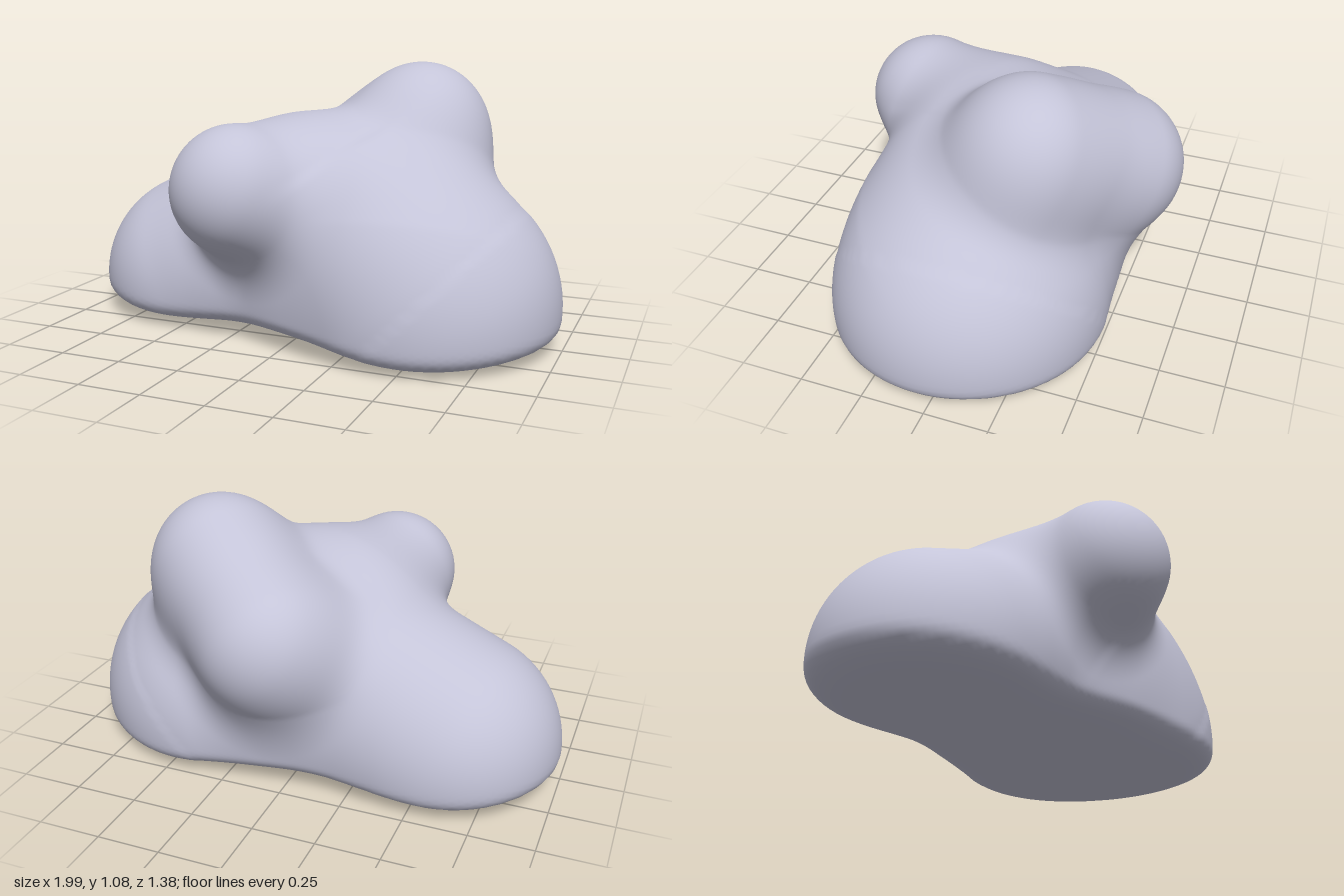
import * as THREE from 'three';
import { mergeVertices } from 'three/addons/utils/BufferGeometryUtils.js';

// Each lobe is a tapered capsule: start, end, start radius, end radius,
// and the width k of its blend into the lobes before it
const lobes = [
  { a: [-0.57, 0.15, -0.07], b: [-0.2, 0.33, -0.06], ra: 0.43, rb: 0.42, k: 0.1 },    // right foot rising to the core
  { a: [-0.4, 0.15, -0.07], b: [0.35, 0.15, 0], ra: 0.39, rb: 0.45, k: 0.1 },         // bridge between the feet
  { a: [0.47, 0.15, 0.04], b: [0.46, 0.16, 0.04], ra: 0.525, rb: 0.52, k: 0.2 },      // left foot
  { a: [0.12, 0.52, 0.08], b: [0.15, 0.5, 0.09], ra: 0.36, rb: 0.37, k: 0.25 },       // core
  { a: [0.4, 0.3, 0.08], b: [0.36, 0.66, -0.14], ra: 0.39, rb: 0.25, k: 0.15 },       // slope up to the peak
  { a: [0.37, 0.82, -0.19], b: [0.07, 0.62, -0.42], ra: 0.255, rb: 0.265, k: 0.2 },   // peak and ridge to the back bump
  { a: [0.07, 0.56, -0.36], b: [0.1, 0.15, -0.02], ra: 0.24, rb: 0.42, k: 0.15 },     // slope below the back bump
  { a: [-0.16, 0.62, 0.44], b: [-0.08, 0.56, 0.15], ra: 0.25, rb: 0.27, k: 0.18 },    // front knob
].map(({ a, b, ra, rb, k }) => {
  const start = new THREE.Vector3(...a);
  const axis = new THREE.Vector3(...b).sub(start);
  return { start, axis, ra, rb, k, len2: axis.lengthSq() };
});

const tmp = new THREE.Vector3();
function lobeDistance(p, { start, axis, ra, rb, len2 }) {
  tmp.subVectors(p, start);
  const t = THREE.MathUtils.clamp(tmp.dot(axis) / len2, 0, 1);
  return tmp.addScaledVector(axis, -t).length() - (ra + (rb - ra) * t);
}

function smoothMin(a, b, k) {
  const h = Math.max(k - Math.abs(a - b), 0) / k;
  return Math.min(a, b) - h * h * k * 0.25;
}

// Blended lobes, cut by an arched underside that curls up towards its rim
function distance(p) {
  let d = 10;
  for (const lobe of lobes) d = smoothMin(d, lobeDistance(p, lobe), lobe.k);
  const rim = 1 - THREE.MathUtils.clamp(-d / 0.16, 0, 1);
  const floor = 0.025 + 0.015 * Math.cos(5.5 * p.x) - 0.015 * p.x + 0.05 * rim * rim;
  return -smoothMin(-d, p.y - floor, 0.04);
}

// Wrap a fine sphere onto the blended form
function wrapGeometry() {
  let geo = new THREE.IcosahedronGeometry(1, 42);
  geo.deleteAttribute('normal');
  geo.deleteAttribute('uv');
  geo = mergeVertices(geo, 1e-5);
  const centre = new THREE.Vector3(0.05, 0.38, 0);
  const pos = geo.attributes.position;
  const dir = new THREE.Vector3();
  const p = new THREE.Vector3();
  const at = (t) => distance(p.copy(centre).addScaledVector(dir, t));
  for (let i = 0; i < pos.count; i++) {
    dir.fromBufferAttribute(pos, i).normalize();
    // Step inwards to the surface, then refine by halving
    let lo = 1.4;
    while (lo > 0.02 && at(lo) > 0) lo -= 0.015;
    let hi = lo + 0.015;
    for (let s = 0; s < 10; s++) {
      const mid = (lo + hi) / 2;
      if (at(mid) > 0) hi = mid;
      else lo = mid;
    }
    p.copy(centre).addScaledVector(dir, lo);
    pos.setXYZ(i, p.x, p.y, p.z);
  }
  geo.computeVertexNormals();
  return geo;
}

export function createModel() {
  const stone = new THREE.MeshStandardMaterial({ color: 0xc4c4d8 });
  stone.name = 'pale stone';
  const body = new THREE.Mesh(wrapGeometry(), stone);
  body.name = 'lumpyBody';
  const group = new THREE.Group();
  group.name = 'smoothRock';
  group.add(body);
  return group;
}
